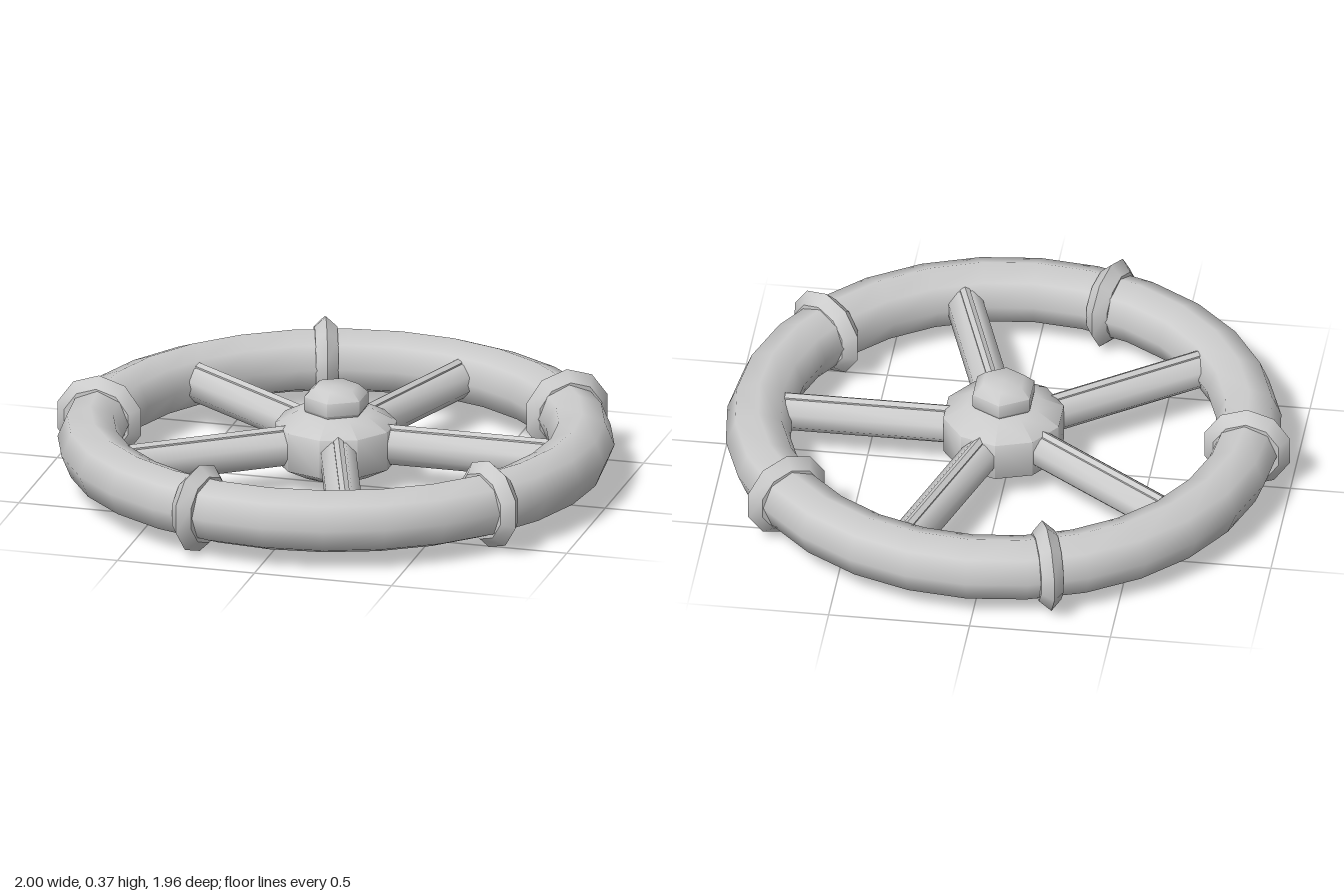
import * as THREE from 'three';
import { toCreasedNormals } from 'three/addons/utils/BufferGeometryUtils.js';

const MID_Y = 0.165; // height of the rim's centre plane
const RIM_R = 0.865; // rim radius
const TUBE_R = 0.115; // rim thickness radius
const STEP = (Math.PI * 2) / 5;

const material = new THREE.MeshStandardMaterial({ color: 0xcccccc });

function part(name, geometry, parent) {
  const mesh = new THREE.Mesh(geometry, material);
  mesh.name = name;
  parent.add(mesh);
  return mesh;
}

// Turned part from [radius, height] pairs, listed bottom to top
function turned(profile, sides, crease) {
  const points = profile.map(([r, y]) => new THREE.Vector2(r, y));
  return toCreasedNormals(new THREE.LatheGeometry(points, sides), crease);
}

// Faceted rod lying along x from x0 to x1
function rod(radius, sides, x0, x1) {
  const g = new THREE.CylinderGeometry(radius, radius, x1 - x0, sides);
  g.rotateY(Math.PI / sides);
  g.rotateZ(-Math.PI / 2);
  g.translate((x0 + x1) / 2, 0, 0);
  return toCreasedNormals(g, 0.9);
}

export function createModel() {
  const wheel = new THREE.Group();
  wheel.name = 'valveWheel';
  wheel.position.set(0.018, MID_Y, 0);

  // Rim
  const rim = new THREE.TorusGeometry(RIM_R, TUBE_R, 8, 28);
  rim.rotateX(Math.PI / 2);
  part('rim', rim, wheel);

  // Hub with bevelled edges and a shallow socket underneath
  part('hub', turned([
    [0, -0.09], [0.065, -0.09], [0.065, -0.115], [0.13, -0.115],
    [0.215, -0.07], [0.215, 0.07], [0.13, 0.115], [0, 0.115],
  ], 10, 1.1), wheel);

  // Six-sided nut on top
  part('nut', turned([
    [0.1, 0.1], [0.117, 0.125], [0.117, 0.172], [0.08, 0.205], [0, 0.205],
  ], 6, 1.1), wheel);

  // Spokes, each with a thin rib along its top
  const spokeGeometry = rod(0.067, 8, 0.12, 0.77);
  const ribGeometry = rod(0.02, 6, 0.15, 0.775);
  for (let i = 0; i < 5; i++) {
    const spoke = new THREE.Group();
    spoke.name = 'spoke';
    spoke.rotation.y = i * STEP;
    part('spokeBar', spokeGeometry, spoke);
    part('spokeRib', ribGeometry, spoke).position.y = 0.058;
    wheel.add(spoke);
  }

  // Ridged collars around the rim, midway between the spokes
  const collarGeometry = turned([
    [0.095, -0.04], [0.122, -0.04], [0.16, 0], [0.122, 0.04], [0.095, 0.04],
  ], 10, 0.7);
  collarGeometry.rotateX(-Math.PI / 2);
  collarGeometry.translate(RIM_R, 0, 0);
  for (let i = 0; i < 5; i++) {
    part('collar', collarGeometry, wheel).rotation.y = (i + 0.5) * STEP;
  }

  const model = new THREE.Group();
  model.name = 'model';
  model.add(wheel);
  return model;
}
